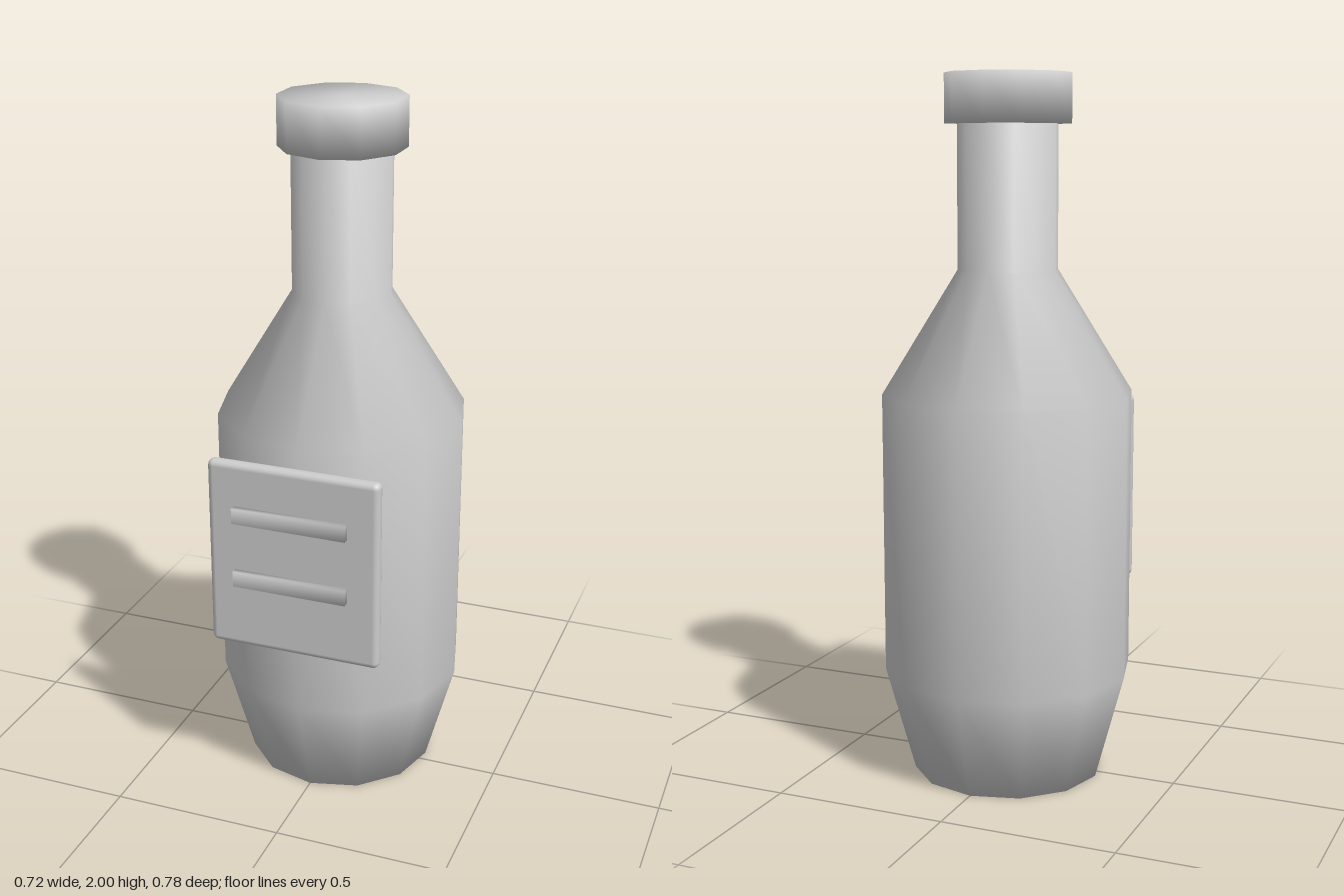
import * as THREE from 'three';
import { mergeVertices } from 'three/addons/utils/BufferGeometryUtils.js';
import { RoundedBoxGeometry } from 'three/addons/geometries/RoundedBoxGeometry.js';

const AXIS_Z = -0.035;

export function createModel() {
  const model = new THREE.Group();
  model.name = 'bottle';
  const grey = new THREE.MeshStandardMaterial({ color: 0xcccccc });
  grey.name = 'light grey';

  const add = (name, geometry, x, y, z) => {
    const mesh = new THREE.Mesh(geometry, grey);
    mesh.name = name;
    mesh.position.set(x, y, z);
    model.add(mesh);
  };

  // Low-sided turned shape with smooth shading, profile from bottom to top
  const turned = (profile, sides) =>
    new THREE.LatheGeometry(profile.map(([r, y]) => new THREE.Vector2(r, y)), sides);

  // Box whose corners share their normals, so it shades softly
  const softBox = (w, h, d) => {
    const box = new THREE.BoxGeometry(w, h, d);
    box.deleteAttribute('normal');
    box.deleteAttribute('uv');
    const merged = mergeVertices(box);
    merged.computeVertexNormals();
    return merged;
  };

  // Tapered base, straight belly, sloping shoulder and neck
  add('body', turned([
    [0, 0], [0.274, 0], [0.358, 0.305], [0.358, 1.11],
    [0.142, 1.46], [0.142, 1.87], [0, 1.87],
  ], 12), 0, 0, AXIS_Z);

  // Ten-sided stopper
  add('cap', turned([[0, 1.862], [0.178, 1.862], [0.178, 2], [0, 2]], 10), 0, 0, AXIS_Z);

  // Rounded label plate with two raised bars floating in front
  add('label', new RoundedBoxGeometry(0.5, 0.56, 0.04, 2, 0.018), 0, 0.785, 0.339);
  for (const y of [0.922, 0.73]) add('labelBar', softBox(0.33, 0.045, 0.019), 0, y, 0.381);

  return model;
}
